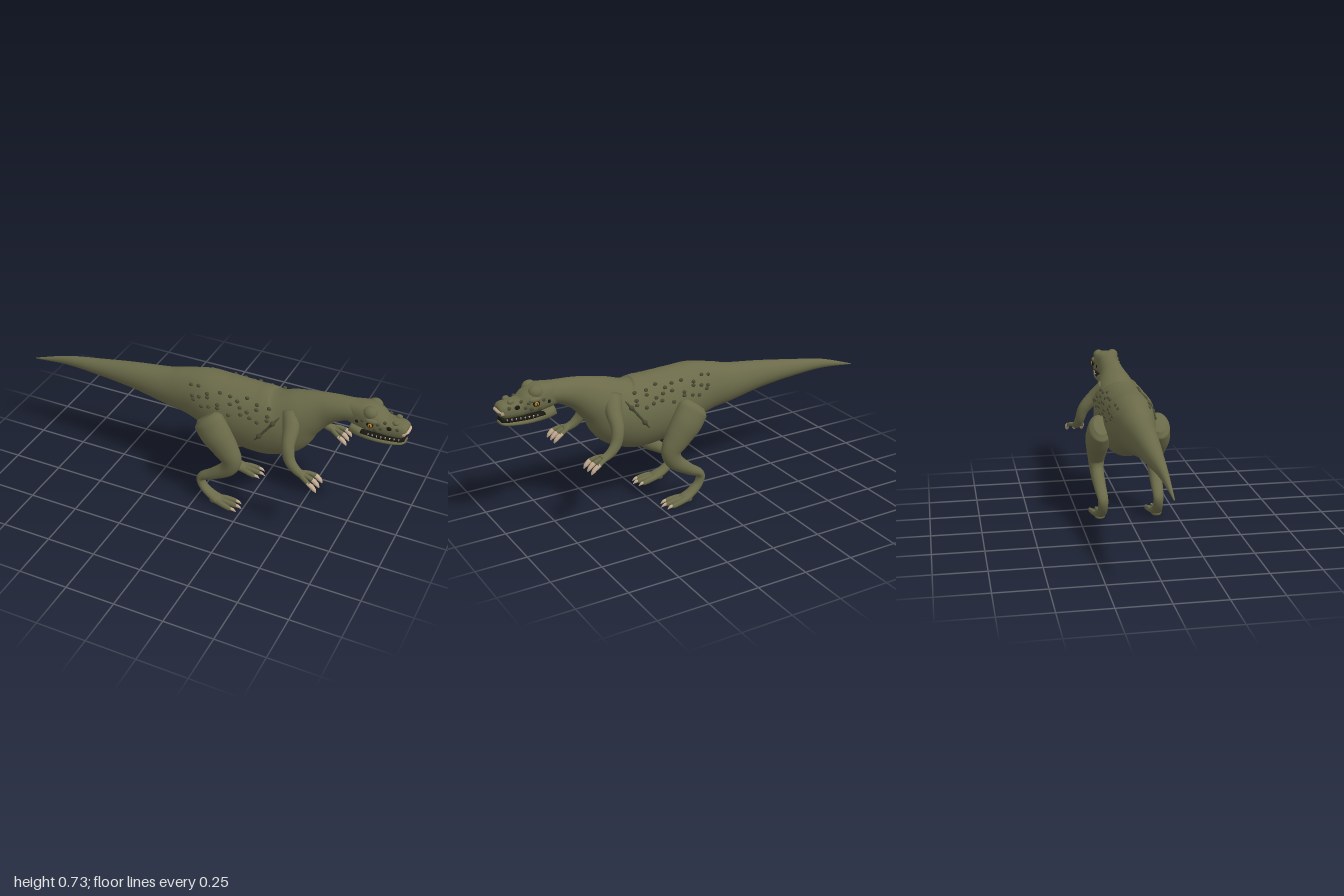
import * as THREE from 'three';

const mat = (name, color) => {
  const m = new THREE.MeshStandardMaterial({ color });
  m.name = name;
  return m;
};

// Smooth tube through stations [x, y, z, radius in the side plane, radius across]
function loft(stations, steps = 48, sides = 24, power = 2) {
  const path = new THREE.CatmullRomCurve3(stations.map(s => new THREE.Vector3(s[0], s[1], s[2])));
  const radii = new THREE.CatmullRomCurve3(stations.map(s => new THREE.Vector3(s[3], s[4], 0)));
  const pos = [], index = [];
  const shape = v => Math.sign(v) * Math.abs(v) ** (2 / power);
  for (let i = 0; i <= steps; i++) {
    const t = i / steps, p = path.getPoint(t), r = radii.getPoint(t), T = path.getTangent(t);
    const A = new THREE.Vector3(0, 0, 1).addScaledVector(T, -T.z).normalize();
    const B = new THREE.Vector3().crossVectors(T, A);
    for (let j = 0; j < sides; j++) {
      const a = (j / sides) * Math.PI * 2;
      const q = p.clone().addScaledVector(A, shape(Math.cos(a)) * r.y).addScaledVector(B, shape(Math.sin(a)) * r.x);
      pos.push(q.x, q.y, q.z);
      if (i < steps) {
        const k = i * sides + j, n = i * sides + (j + 1) % sides;
        index.push(k, n, k + sides, n, n + sides, k + sides);
      }
    }
  }
  // end caps
  const first = path.getPoint(0), last = path.getPoint(1), c = pos.length / 3, e = steps * sides;
  pos.push(first.x, first.y, first.z, last.x, last.y, last.z);
  for (let j = 0; j < sides; j++) {
    const n = (j + 1) % sides;
    index.push(c, n, j, c + 1, e + j, e + n);
  }
  const g = new THREE.BufferGeometry();
  g.setAttribute('position', new THREE.Float32BufferAttribute(pos, 3));
  g.setIndex(index);
  g.computeVertexNormals();
  return g;
}

// Side outline of tail, trunk and neck: x, top, bottom, half width
const BODY = [
  [-1, 0.467, 0.463, 0.003], [-0.8, 0.53, 0.481, 0.02], [-0.6, 0.565, 0.474, 0.04],
  [-0.4, 0.597, 0.455, 0.06], [-0.2, 0.624, 0.418, 0.082], [-0.1, 0.65, 0.402, 0.097],
  [0, 0.671, 0.372, 0.12], [0.1, 0.668, 0.332, 0.133], [0.2, 0.663, 0.305, 0.137],
  [0.3, 0.662, 0.296, 0.137], [0.4, 0.672, 0.335, 0.13], [0.5, 0.694, 0.455, 0.103],
  [0.6, 0.71, 0.55, 0.068], [0.7, 0.717, 0.602, 0.057], [0.8, 0.717, 0.61, 0.05]
];
const rows = list => list.map(([x, t, b, w]) => [x, (t + b) / 2, 0, (t - b) / 2, w]);

// Half width of the trunk at a given height
function flank(x, y) {
  const i = Math.max(1, BODY.findIndex(r => r[0] >= x)), a = BODY[i - 1], b = BODY[i];
  const f = (x - a[0]) / (b[0] - a[0]);
  const [t, u, w] = [1, 2, 3].map(k => a[k] + (b[k] - a[k]) * f);
  const d = (y - (t + u) / 2) / ((t - u) / 2);
  return w * Math.sqrt(Math.max(0, 1 - d * d));
}

export function createModel() {
  const skin = mat('olive skin', 0x6b6b4a), dark = mat('dark scales', 0x4b4b34);
  const horn = mat('pale horn', 0xc2aa90), black = mat('black', 0x171714), amber = mat('amber eye', 0xb87c1c);
  const model = new THREE.Group();
  model.name = 'dinosaur';

  const add = (name, geometry, material, parent = model) => {
    const m = new THREE.Mesh(geometry, material);
    m.name = name;
    parent.add(m);
    return m;
  };
  const ball = new THREE.SphereGeometry(1, 16, 12);
  const blob = (name, material, x, y, z, rx, ry, rz, parent) => {
    const m = add(name, ball, material, parent);
    m.position.set(x, y, z);
    m.scale.set(rx, ry, rz);
    return m;
  };

  add('body', loft(rows(BODY), 90, 40), skin);

  // Head
  const head = new THREE.Group();
  head.name = 'head';
  model.add(head);
  add('skull', loft(rows([
    [0.71, 0.715, 0.61, 0.045], [0.76, 0.72, 0.6, 0.056], [0.81, 0.722, 0.593, 0.066],
    [0.85, 0.702, 0.59, 0.066], [0.89, 0.675, 0.588, 0.055], [0.94, 0.669, 0.587, 0.05],
    [0.98, 0.664, 0.59, 0.046], [0.997, 0.648, 0.6, 0.036], [1, 0.635, 0.612, 0.02]
  ]), 50, 28, 2.7), skin, head);
  add('lowerJaw', loft(rows([
    [0.732, 0.612, 0.557, 0.046], [0.78, 0.6, 0.549, 0.055], [0.86, 0.579, 0.548, 0.057],
    [0.93, 0.576, 0.551, 0.052], [0.98, 0.576, 0.557, 0.04], [0.996, 0.574, 0.564, 0.022]
  ]), 36, 24, 2.6), skin, head);
  add('mouth', loft(rows([
    [0.79, 0.594, 0.578, 0.058], [0.86, 0.593, 0.57, 0.057], [0.93, 0.593, 0.57, 0.05],
    [0.975, 0.593, 0.57, 0.04], [0.99, 0.592, 0.572, 0.028]
  ]), 24, 20, 3), black, head);
  add('snoutTip', loft(rows([
    [0.972, 0.642, 0.606, 0.046], [0.99, 0.642, 0.606, 0.043], [0.999, 0.638, 0.609, 0.037], [1, 0.632, 0.612, 0.026]
  ]), 16, 24, 3), horn, head);

  for (const s of [1, -1]) {
    const side = s > 0 ? 'left' : 'right';

    // Face details
    blob(side + 'Brow', skin, 0.825, 0.694, s * 0.038, 0.036, 0.032, 0.03, head);
    blob(side + 'BrowRidge', skin, 0.84, 0.668, s * 0.062, 0.03, 0.013, 0.014, head);
    blob(side + 'EyeSocket', black, 0.836, 0.65, s * 0.066, 0.017, 0.015, 0.011, head);
    blob(side + 'Eye', amber, 0.838, 0.65, s * 0.071, 0.011, 0.011, 0.01, head);
    blob(side + 'Pupil', black, 0.839, 0.65, s * 0.0785, 0.003, 0.007, 0.0035, head);
    blob(side + 'EarHole', black, 0.772, 0.645, s * 0.055, 0.01, 0.01, 0.006, head);
    blob(side + 'NostrilBump', skin, 0.945, 0.667, s * 0.028, 0.016, 0.012, 0.013, head);
    blob(side + 'Nostril', black, 0.922, 0.642, s * 0.049, 0.013, 0.01, 0.006, head);
    for (const [x, y, z] of [[0.8, 0.66, 0.063], [0.87, 0.655, 0.059], [0.885, 0.635, 0.056], [0.86, 0.627, 0.062],
      [0.82, 0.622, 0.065], [0.9, 0.665, 0.045], [0.96, 0.645, 0.047]])
      blob(side + 'FaceScale', dark, x, y, s * z, 0.009, 0.008, 0.006, head);
    for (let i = 0; i < 8; i++) {
      const tooth = add(side + 'Tooth', new THREE.ConeGeometry(0.004, 0.012, 6), horn, head);
      tooth.position.set(0.83 + i * 0.02, 0.586, s * (0.058 - i * i * 0.00035));
      tooth.rotation.x = Math.PI;
    }

    // Leg: thigh, shank and ankle in one sweep
    const leg = new THREE.Group();
    leg.name = side + 'Leg';
    model.add(leg);
    add('legLimb', loft([
      [0.05, 0.507, s * 0.145, 0.055, 0.035], [0.068, 0.485, s * 0.148, 0.083, 0.057], [0.105, 0.43, s * 0.152, 0.082, 0.062],
      [0.155, 0.36, s * 0.152, 0.068, 0.053], [0.19, 0.295, s * 0.15, 0.052, 0.042], [0.175, 0.242, s * 0.15, 0.043, 0.036],
      [0.095, 0.178, s * 0.146, 0.03, 0.031], [0.022, 0.128, s * 0.141, 0.021, 0.026], [0.03, 0.085, s * 0.141, 0.02, 0.025],
      [0.075, 0.043, s * 0.143, 0.022, 0.028], [0.12, 0.024, s * 0.146, 0.02, 0.034], [0.145, 0.018, s * 0.147, 0.012, 0.026]
    ], 80, 24), skin, leg);
    blob('heel', skin, 0.1, 0.015, s * 0.146, 0.026, 0.014, 0.027, leg);
    for (const k of [-1, 0, 1]) {
      const z = s * 0.147 + k * 0.034, reach = k ? 0 : 0.015;
      add('toe', loft([
        [0.085, 0.024, s * 0.146 + k * 0.012, 0.014, 0.012], [0.15, 0.021, z - k * 0.007, 0.015, 0.013],
        [0.195 + reach, 0.015, z, 0.013, 0.011], [0.21 + reach, 0.014, z, 0.007, 0.006]
      ], 16, 12), skin, leg);
      add('toeClaw', loft([
        [0.195 + reach, 0.016, z, 0.009, 0.008], [0.215 + reach, 0.014, z, 0.008, 0.007], [0.232 + reach, 0.004, z, 0.001, 0.001]
      ], 10, 10), horn, leg);
    }

    // Arm with three clawed fingers
    const arm = new THREE.Group();
    arm.name = side + 'Arm';
    model.add(arm);
    add('armLimb', loft([
      [0.45, 0.6, s * 0.06, 0.045, 0.045], [0.475, 0.55, s * 0.112, 0.04, 0.038], [0.486, 0.485, s * 0.17, 0.031, 0.03],
      [0.508, 0.42, s * 0.191, 0.027, 0.024], [0.55, 0.382, s * 0.2, 0.021, 0.02], [0.59, 0.368, s * 0.204, 0.016, 0.023]
    ], 44, 20), skin, arm);
    for (const k of [-1, 0, 1]) {
      const z = s * 0.202 + k * 0.04;
      add('finger', loft([
        [0.565, 0.376, s * 0.203 + k * 0.007, 0.013, 0.012], [0.596, 0.37, z - k * 0.012, 0.011, 0.01],
        [0.628, 0.358, z, 0.011, 0.011]
      ], 14, 12), skin, arm);
      add('fingerClaw', loft([
        [0.616, 0.363, z, 0.009, 0.009], [0.634, 0.354, z, 0.011, 0.012],
        [0.652, 0.338, z, 0.009, 0.011], [0.662, 0.324, z, 0.002, 0.004]
      ], 14, 12), horn, arm);
    }

    // Scattered flank scales in three rows, and the fold behind the shoulder
    for (let r = 0; r < 3; r++) for (let i = 0; i < 9; i++) {
      const x = -0.06 + i * 0.051 + r * 0.009 + 0.01 * Math.sin(i * 5 + r);
      const y = 0.617 - r * 0.034 + 0.011 * Math.sin(i * 2.3 + r * 4);
      blob(side + 'FlankScale', dark, x, y, s * flank(x, y), 0.011, 0.009, 0.008);
    }
    const fold = [];
    for (let i = 0; i <= 6; i++) {
      const x = 0.297 + i * 0.0195, y = 0.435 + i * 0.0255;
      fold.push([x, y, s * flank(x, y), i % 6 ? 0.006 : 0.002, i % 6 ? 0.006 : 0.002]);
    }
    add(side + 'SkinFold', loft(fold, 24, 8), dark);
  }
  return model;
}
